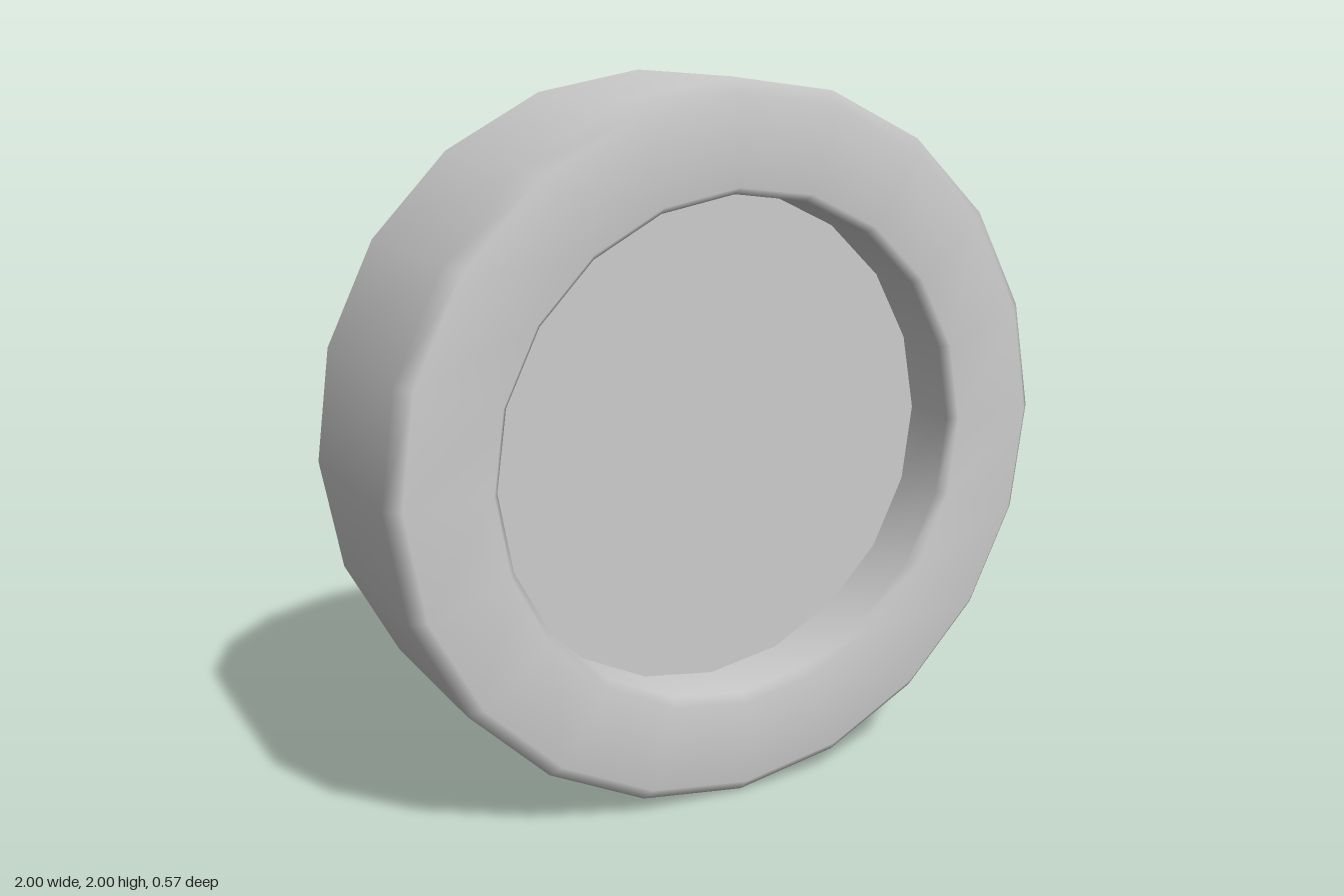
import * as THREE from 'three';

const SIDES = 20;
const TWIST = THREE.MathUtils.degToRad(1.2);
const FRONT = 0.285, BACK = -0.285, FLOOR = 0.085;

export function createModel() {
  const group = new THREE.Group();
  group.name = 'recessedDisc';
  const material = new THREE.MeshStandardMaterial({ color: 0xcccccc });

  const add = (name, geometry) => {
    geometry.rotateZ(TWIST).translate(0, 1, 0);
    const mesh = new THREE.Mesh(geometry, material);
    mesh.name = name;
    group.add(mesh);
  };

  // Outer wall, bevelled front rim and inner wall of the recess: [radius, z]
  const profile = [
    [1, BACK], [1, FRONT - 0.04], [0.96, FRONT],
    [0.72, FRONT], [0.7, FRONT - 0.03], [0.7, FLOOR],
  ].map(([r, z]) => new THREE.Vector2(r, z));
  add('rim', new THREE.LatheGeometry(profile, SIDES).rotateX(Math.PI / 2));

  // Flat floor of the recess
  add('recessFloor', new THREE.CircleGeometry(0.7, SIDES).translate(0, 0, FLOOR));

  // Flat back
  add('backFace', new THREE.CircleGeometry(1, SIDES).rotateY(Math.PI).translate(0, 0, BACK));

  return group;
}
